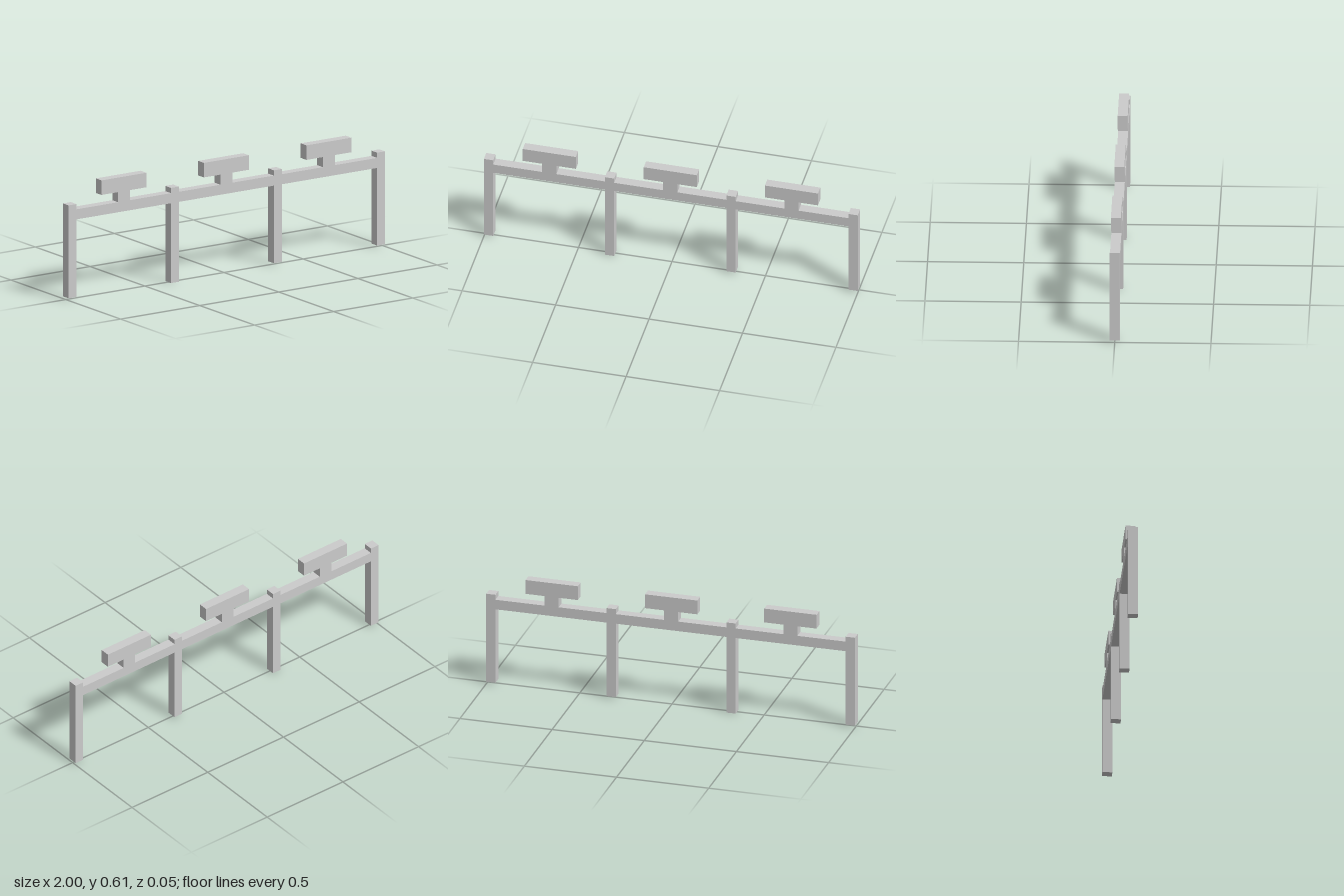
import * as THREE from 'three';

const DEPTH = 0.052;
const material = new THREE.MeshStandardMaterial({ color: 0xcccccc, flatShading: true });

// Box given by its left/right and bottom/top limits, flush front and back
function bar(name, x0, x1, y0, y1) {
  const mesh = new THREE.Mesh(new THREE.BoxGeometry(x1 - x0, y1 - y0, DEPTH), material);
  mesh.position.set((x0 + x1) / 2, (y0 + y1) / 2, 0);
  mesh.name = name;
  return mesh;
}

export function createModel() {
  const model = new THREE.Group();
  model.name = 'railWithSigns';

  const postX = [-0.975, -0.328, 0.322, 0.975];
  const postHalf = 0.025;
  const railBottom = 0.428, railTop = 0.482;

  // Posts: the second one reaches slightly lower than the rest
  postX.forEach((x, i) => {
    model.add(bar('post' + (i + 1), x - postHalf, x + postHalf, i === 1 ? 0 : 0.012, 0.51));
  });

  // Rail sections between neighbouring posts
  for (let i = 0; i < postX.length - 1; i++) {
    model.add(bar('rail' + (i + 1), postX[i] + postHalf, postX[i + 1] - postHalf, railBottom, railTop));
  }

  // A board on a short stem above each rail section
  [-0.65, -0.003, 0.645].forEach((x, i) => {
    const sign = new THREE.Group();
    sign.name = 'sign' + (i + 1);
    sign.add(bar('stem', x - 0.038, x + 0.038, railTop, 0.536));
    sign.add(bar('board', x - 0.142, x + 0.142, 0.536, 0.614));
    model.add(sign);
  });

  return model;
}
